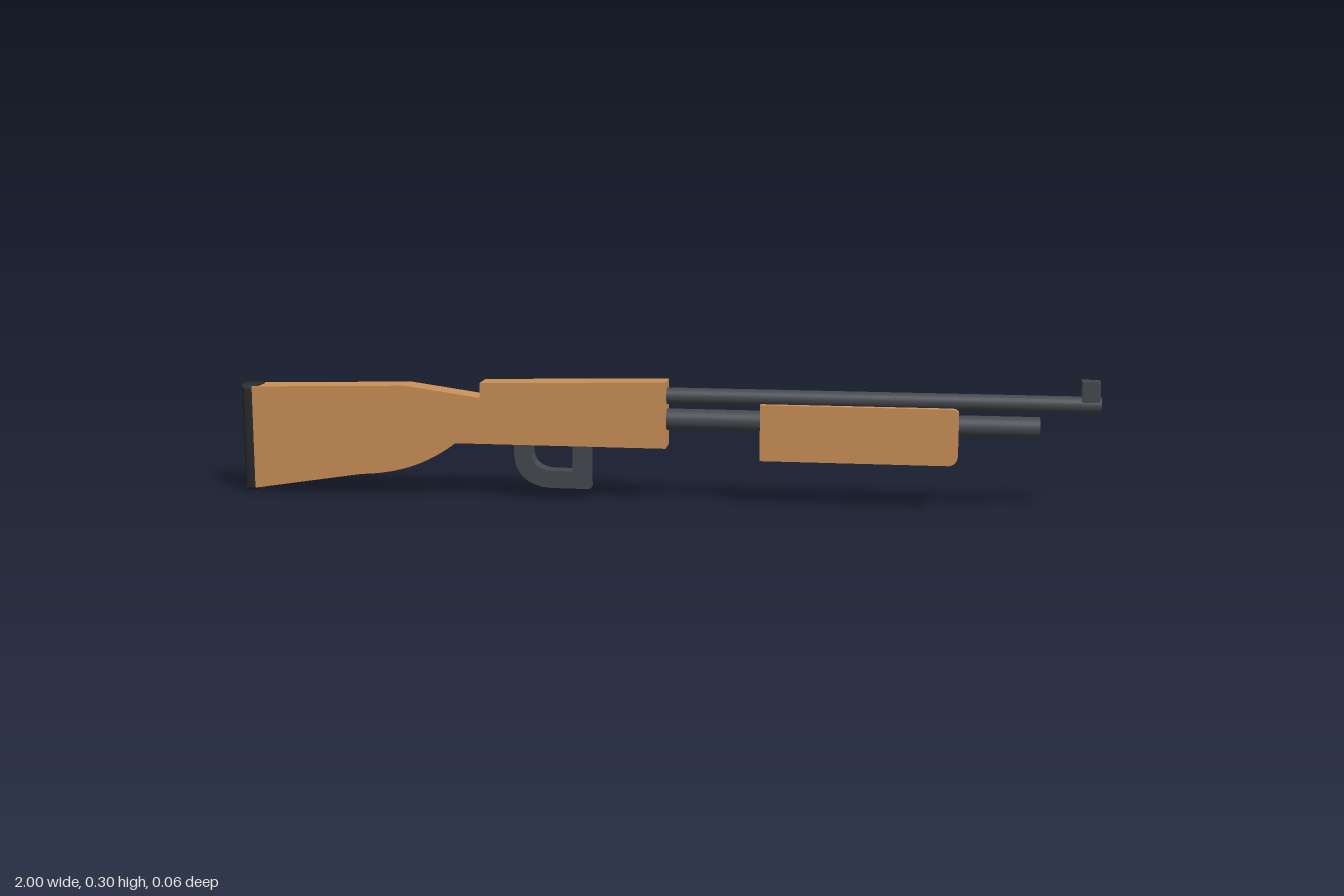
import * as THREE from 'three';
import { toCreasedNormals } from 'three/addons/utils/BufferGeometryUtils.js';

const material = (name, color) => new THREE.MeshStandardMaterial({ name, color });

export function createModel() {
  const model = new THREE.Group();
  model.name = 'longGun';
  const wood = material('wood', 0xcc9158);
  const metal = material('gunMetal', 0x45494f);
  const rubber = material('blackRubber', 0x292b2e);

  const add = (name, geometry, mat) => {
    const mesh = new THREE.Mesh(geometry, mat);
    mesh.name = name;
    model.add(mesh);
    return mesh;
  };

  // Side profile extruded evenly about z = 0
  const slab = (name, shape, halfWidth, mat) => {
    const geometry = new THREE.ExtrudeGeometry(shape, {
      depth: halfWidth * 2, bevelEnabled: false, curveSegments: 10,
    });
    geometry.translate(0, 0, -halfWidth);
    return add(name, toCreasedNormals(geometry, 0.5), mat);
  };

  // Tube lying along x
  const rod = (name, radius, x0, x1, y) => {
    const geometry = new THREE.CylinderGeometry(radius, radius, x1 - x0, 32);
    geometry.rotateZ(-Math.PI / 2);
    geometry.translate((x0 + x1) / 2, y, 0);
    return add(name, geometry, metal);
  };

  // Shoulder stock with curved belly
  const stock = new THREE.Shape();
  stock.moveTo(-0.972, 0.012);
  stock.lineTo(-0.71, 0.053);
  stock.bezierCurveTo(-0.62, 0.057, -0.55, 0.08, -0.48, 0.133);
  stock.lineTo(-0.42, 0.133);
  stock.lineTo(-0.42, 0.242);
  stock.lineTo(-0.6, 0.267);
  stock.lineTo(-0.972, 0.257);
  stock.closePath();
  slab('stock', stock, 0.032, wood);

  // Receiver with a slightly rising top
  const receiver = new THREE.Shape([
    [-0.42, 0.133], [0.017, 0.133], [0.017, 0.288], [-0.42, 0.277],
  ].map(([x, y]) => new THREE.Vector2(x, y)));
  slab('receiver', receiver, 0.032, wood);

  // Butt pad with rounded back edges
  const pad = new THREE.Shape([
    [-0.986, 0.018], [-0.971, 0.02], [-0.971, 0.247], [-0.986, 0.247],
  ].map(([x, y]) => new THREE.Vector2(x, y)));
  const padGeometry = new THREE.ExtrudeGeometry(pad, {
    depth: 0.036, bevelEnabled: true, bevelSize: 0.014, bevelThickness: 0.014, bevelSegments: 3,
  });
  padGeometry.translate(0, 0, -0.018);
  add('buttPad', toCreasedNormals(padGeometry, 0.6), rubber);

  // Barrel, magazine tube and front sight
  rod('barrel', 0.0195, 0, 1, 0.252);
  rod('magazineTube', 0.025, 0, 0.866, 0.197);
  const sight = add('frontSight', new THREE.BoxGeometry(0.04, 0.046, 0.041), metal);
  sight.position.set(0.976, 0.284, 0);

  // Sliding fore-end with rounded front corners
  const foreEnd = new THREE.Shape();
  foreEnd.moveTo(0.235, 0.11);
  foreEnd.lineTo(0.665, 0.11);
  foreEnd.quadraticCurveTo(0.685, 0.113, 0.685, 0.137);
  foreEnd.lineTo(0.685, 0.224);
  foreEnd.quadraticCurveTo(0.685, 0.238, 0.672, 0.24);
  foreEnd.lineTo(0.235, 0.24);
  foreEnd.closePath();
  slab('foreEnd', foreEnd, 0.032, wood);

  // Trigger guard: one curved and one straight leg
  const guard = new THREE.Shape();
  guard.moveTo(-0.342, 0.14);
  guard.lineTo(-0.342, 0.108);
  guard.bezierCurveTo(-0.342, 0.055, -0.3, 0.03, -0.25, 0.03);
  guard.lineTo(-0.163, 0.03);
  guard.lineTo(-0.163, 0.14);
  guard.lineTo(-0.203, 0.14);
  guard.lineTo(-0.203, 0.071);
  guard.lineTo(-0.25, 0.071);
  guard.bezierCurveTo(-0.28, 0.071, -0.302, 0.085, -0.302, 0.115);
  guard.lineTo(-0.302, 0.14);
  guard.closePath();
  slab('triggerGuard', guard, 0.0205, metal);

  return model;
}
